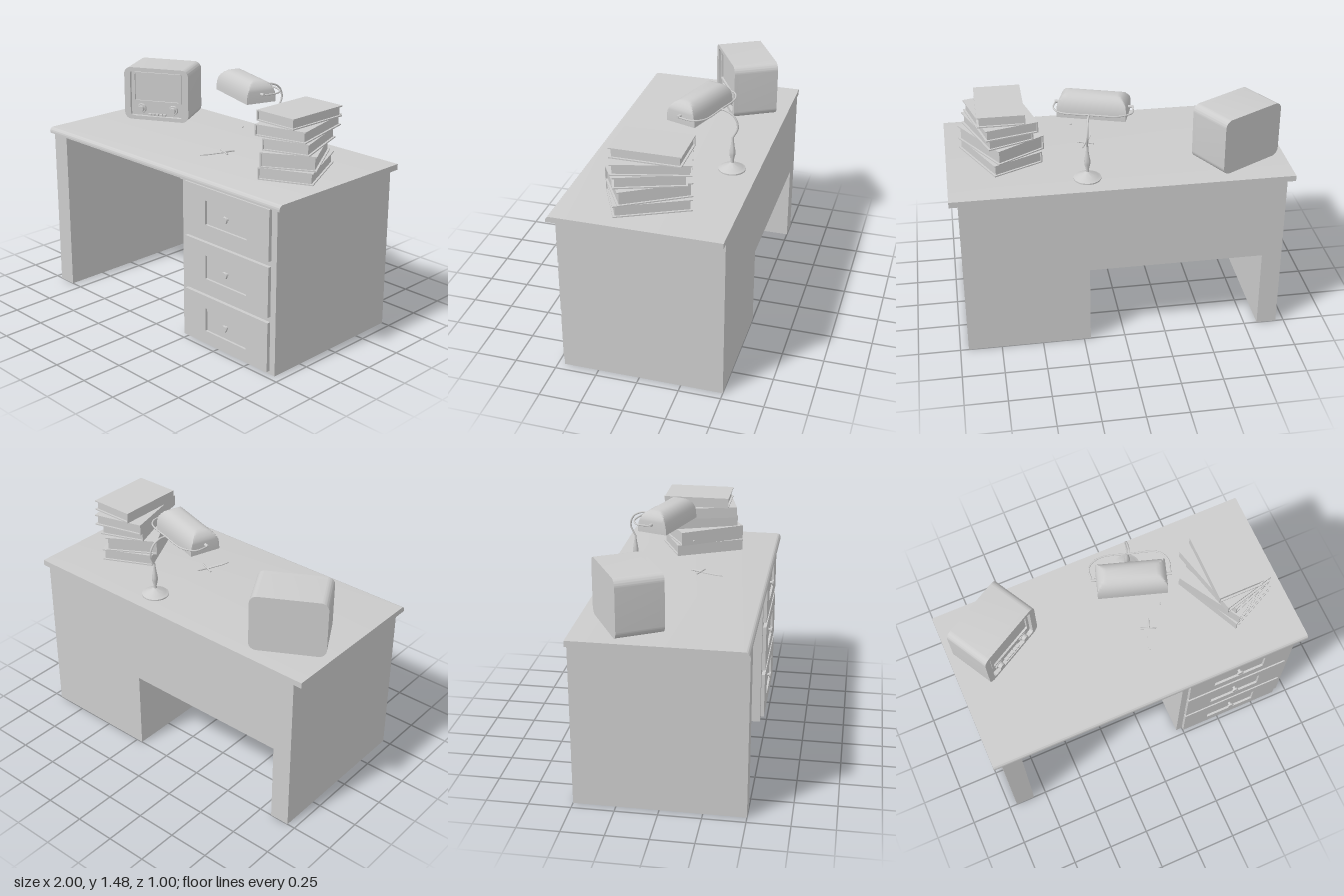
import * as THREE from 'three';
import { toCreasedNormals } from 'three/addons/utils/BufferGeometryUtils.js';

const grey = new THREE.MeshStandardMaterial({ color: 0xcccccc, side: THREE.DoubleSide });
grey.name = 'light grey';

function add(parent, name, geometry, x = 0, y = 0, z = 0) {
  const m = new THREE.Mesh(geometry, grey);
  m.name = name;
  m.position.set(x, y, z);
  parent.add(m);
  return m;
}

function group(parent, name, x, y, z, turn = 0) {
  const g = new THREE.Group();
  g.name = name;
  g.position.set(x, y, z);
  g.rotation.y = turn;
  parent.add(g);
  return g;
}

// Box given by its limits on each axis
function box(parent, name, x0, x1, y0, y1, z0, z1) {
  return add(parent, name, new THREE.BoxGeometry(x1 - x0, y1 - y0, z1 - z0),
    (x0 + x1) / 2, (y0 + y1) / 2, (z0 + z1) / 2);
}

// Rounded rectangle outline, centred on (cx, cy)
function outline(w, h, r, cx = 0, cy = 0, Type = THREE.Shape) {
  const s = new Type(), x = w / 2, y = h / 2;
  if (!r) {
    s.moveTo(cx - x, cy - y).lineTo(cx + x, cy - y).lineTo(cx + x, cy + y).lineTo(cx - x, cy + y);
  } else {
    s.absarc(cx + x - r, cy - y + r, r, -Math.PI / 2, 0);
    s.absarc(cx + x - r, cy + y - r, r, 0, Math.PI / 2);
    s.absarc(cx - x + r, cy + y - r, r, Math.PI / 2, Math.PI);
    s.absarc(cx - x + r, cy - y + r, r, Math.PI, Math.PI * 1.5);
  }
  s.closePath();
  return s;
}

function extrude(shape, depth, ...holes) {
  shape.holes.push(...holes);
  return toCreasedNormals(new THREE.ExtrudeGeometry(shape,
    { depth, bevelEnabled: false, curveSegments: 8 }), 0.6);
}

const disc = (r, depth) => new THREE.CylinderGeometry(r * 0.9, r, depth, 24).rotateX(Math.PI / 2);
const tube = (pts, r) => new THREE.TubeGeometry(
  new THREE.CatmullRomCurve3(pts.map(p => new THREE.Vector3(...p))), 40, r, 8);

function buildDesk(root) {
  const desk = group(root, 'desk', 0, 0, 0);
  // Top with a rounded front edge
  const s = new THREE.Shape();
  s.moveTo(-0.5, 1).lineTo(0.5, 1).lineTo(0.5, 1.01);
  s.absarc(0.475, 1.01, 0.025, 0, Math.PI / 2);
  s.lineTo(-0.5, 1.035).closePath();
  add(desk, 'desktop', extrude(s, 2).rotateY(-Math.PI / 2), 1);
  box(desk, 'sideLeg', -0.95, -0.83, 0, 1, -0.5, 0.5);
  box(desk, 'backPanel', -0.83, 0.21, 0.5, 1, -0.5, -0.46);
  box(desk, 'pedestal', 0.21, 0.95, 0, 1, -0.5, 0.46);
  // Drawer fronts with a sunken pull plate and knob
  for (const y of [0.17, 0.502, 0.835]) {
    const drawer = group(desk, 'drawer', 0.58, y, 0.46);
    add(drawer, 'drawerFront', extrude(outline(0.66, 0.3, 0), 0.022, outline(0.325, 0.145, 0, 0, 0, THREE.Path)));
    add(drawer, 'pullPlate', new THREE.BoxGeometry(0.325, 0.145, 0.008), 0, 0, 0.004);
    add(drawer, 'knobStem', disc(0.01, 0.02), 0, 0, 0.016);
    add(drawer, 'knob', disc(0.021, 0.01), 0, 0, 0.03);
  }
}

function buildRadio(root) {
  const radio = group(root, 'radio', -0.705, 1.208, -0.208, 0.51);
  const w = 0.434, h = 0.345, r = 0.045;
  add(radio, 'radioBody', extrude(outline(w, h, r), 0.255), 0, 0, -0.14);
  add(radio, 'radioFrame', extrude(outline(w, h, r), 0.025,
    outline(0.355, 0.295, 0.02, 0, 0, THREE.Path)), 0, 0, 0.115);
  // Dial window
  add(radio, 'dialFrame', extrude(outline(0.33, 0.2, 0.01, 0, 0.04), 0.012,
    outline(0.3, 0.175, 0.005, 0, 0.04, THREE.Path)), 0, 0, 0.115);
  for (const x of [-0.108, 0.108]) {
    add(radio, 'radioKnobBase', disc(0.032, 0.012), x, -0.102, 0.121);
    add(radio, 'radioKnob', disc(0.021, 0.025), x, -0.102, 0.137);
  }
  // Push buttons under the dial
  for (let i = -2; i <= 2; i++)
    add(radio, 'radioButton', new THREE.BoxGeometry(0.02, 0.012, 0.02), i * 0.025, -0.138, 0.125);
}

// Arched lamp shade with rounded-off ends, open underneath
function shadeGeometry() {
  const rows = [[-0.2, 0]], n = 28, pos = [], index = [];
  const half = [[0.2, 0.07], [0.197, 0.085], [0.188, 0.1], [0.175, 0.115], [0.16, 0.125], [0.14, 0.13]];
  for (const [x, top] of half) rows.push([-x, top]);
  for (const [x, top] of [...half].reverse()) rows.push([x, top]);
  rows.push([0.2, 0]);
  for (const [x, top] of rows)
    for (let j = 0; j <= n; j++) {
      const t = Math.PI * j / n;
      const z = 0.095 * Math.sign(Math.cos(t)) * Math.abs(Math.cos(t)) ** 0.8;
      pos.push(x, Math.min(0.13 * Math.sin(t) ** 0.8, top), z);
    }
  for (let i = 0; i < rows.length - 1; i++)
    for (let j = 0; j < n; j++) {
      const a = i * (n + 1) + j, b = a + n + 1;
      index.push(a, b, a + 1, b, b + 1, a + 1);
    }
  const g = new THREE.BufferGeometry();
  g.setAttribute('position', new THREE.Float32BufferAttribute(pos, 3));
  g.setIndex(index);
  return toCreasedNormals(g, 0.6);
}

function buildLamp(root) {
  const lamp = group(root, 'lamp', 0, 0, 0);
  const profile = [[0, 0], [0.08, 0], [0.08, 0.008], [0.062, 0.016], [0.055, 0.022], [0.025, 0.034],
    [0.01, 0.045], [0.009, 0.06], [0.017, 0.095], [0.018, 0.115], [0.012, 0.15], [0.007, 0.185], [0.007, 0.21], [0, 0.21]];
  add(lamp, 'lampStand', toCreasedNormals(new THREE.LatheGeometry(
    profile.map(p => new THREE.Vector2(...p)), 28), 0.6), 0.198, 1.035, -0.343);
  add(lamp, 'lampArm', tube([[0.198, 1.24, -0.343], [0.2, 1.31, -0.372], [0.195, 1.37, -0.35],
    [0.185, 1.397, -0.3], [0.173, 1.4, -0.266]], 0.006));
  const head = group(lamp, 'lampHead', 0.128, 1.347, -0.128, -0.314);
  add(head, 'lampShade', shadeGeometry());
  // Yoke that holds the shade by both ends
  add(head, 'lampYoke', tube([[-0.225, 0.053, 0], [-0.235, 0.053, -0.08], [-0.17, 0.053, -0.135],
    [0, 0.053, -0.145], [0.17, 0.053, -0.14], [0.22, 0.053, -0.09], [0.225, 0.053, 0]], 0.005));
  for (const x of [-0.213, 0.213])
    add(head, 'shadePivot', new THREE.CylinderGeometry(0.009, 0.009, 0.035, 12).rotateZ(Math.PI / 2), x, 0.053, 0);
  add(lamp, 'pullBead', new THREE.SphereGeometry(0.006, 10, 8), 0.25, 1.205, 0.016);
}

function buildLetterOpener(root) {
  const opener = group(root, 'letterOpener', 0.155, 1.042, 0.075, -0.37);
  const blade = new THREE.Shape();
  blade.moveTo(-0.009, 0).lineTo(0.009, 0).lineTo(0.009, 0.11).lineTo(0, 0.155).lineTo(-0.009, 0.11).closePath();
  add(opener, 'blade', extrude(blade, 0.005).rotateX(Math.PI / 2));
  add(opener, 'guard', new THREE.CylinderGeometry(0.005, 0.005, 0.1, 10).rotateZ(Math.PI / 2));
  add(opener, 'grip', new THREE.CylinderGeometry(0.005, 0.007, 0.065, 10).rotateX(-Math.PI / 2), 0, 0, -0.032);
}

function buildBooks(root) {
  // x, z, bottom, top, width, length, turn
  const books = [
    [0.675, 0.013, 1.035, 1.106, 0.32, 0.44, 0.45],
    [0.668, 0.014, 1.108, 1.196, 0.32, 0.425, 0.54],
    [0.687, 0.005, 1.198, 1.267, 0.28, 0.41, 0.35],
    [0.666, -0.008, 1.27, 1.337, 0.315, 0.445, 0.25],
    [0.67, -0.01, 1.339, 1.402, 0.275, 0.41, 0],
  ];
  for (const [x, z, y0, y1, w, d, turn] of books) {
    const book = group(root, 'book', x, y0, z, turn);
    const h = y1 - y0, t = 0.007;
    box(book, 'lowerCover', -w / 2, w / 2, 0, t, -d / 2, d / 2);
    box(book, 'upperCover', -w / 2, w / 2, h - t, h, -d / 2, d / 2);
    box(book, 'spine', -w / 2, -w / 2 + t, t, h - t, -d / 2, d / 2);
    box(book, 'pages', -w / 2 + t, w / 2 - 0.012, t, h - t, -d / 2 + 0.012, d / 2 - 0.012);
  }
}

export function createModel() {
  const root = new THREE.Group();
  root.name = 'deskSet';
  buildDesk(root);
  buildRadio(root);
  buildLamp(root);
  buildLetterOpener(root);
  buildBooks(root);
  return root;
}
